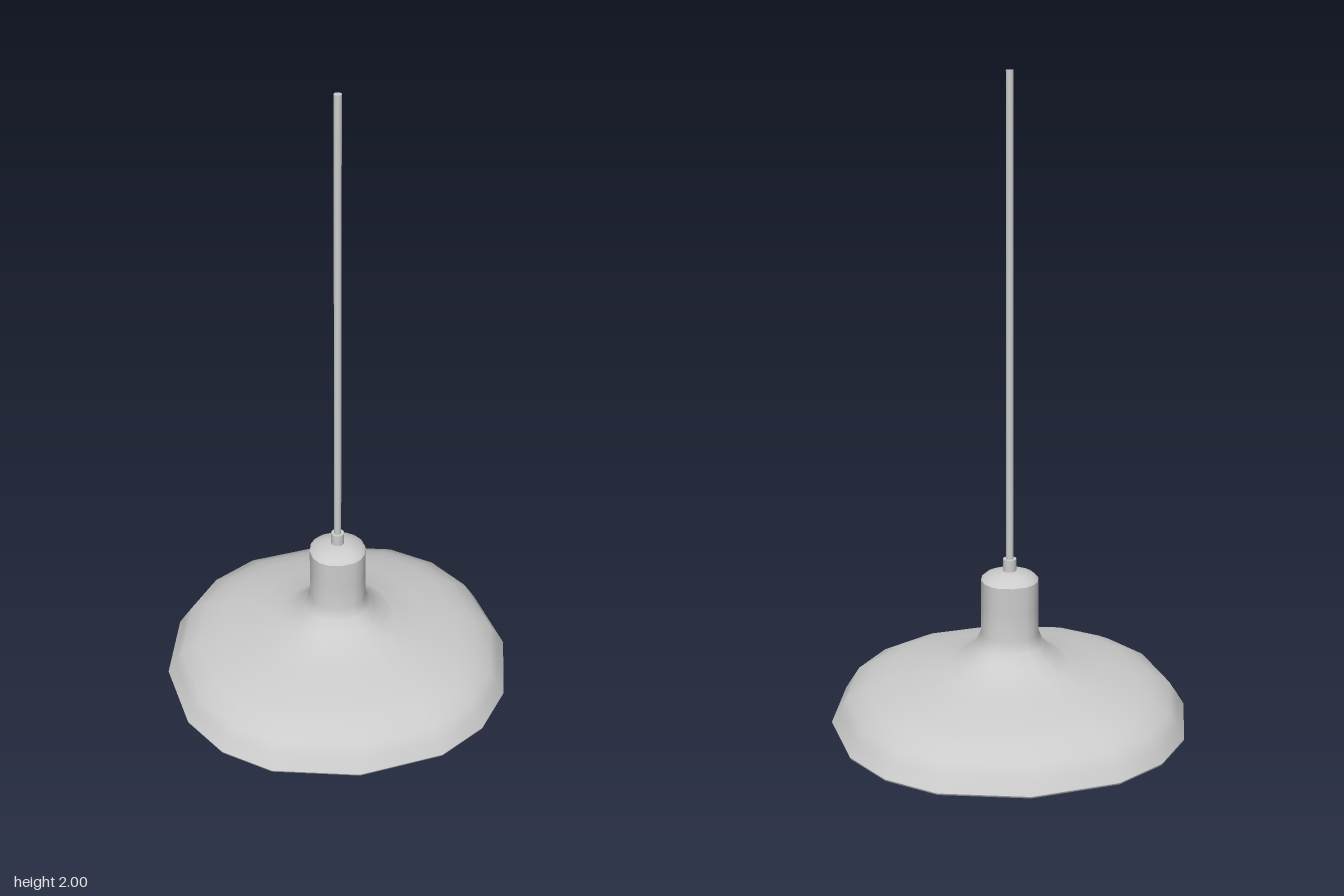
import * as THREE from 'three';

// Sixteen-sided, slightly squared outline, one quadrant mirrored to a full ring
const quadrant = [[1, 0], [0.91, 0.45], [0.735, 0.72], [0.475, 0.905]];
const second = quadrant.slice(1).reverse().map(([x, z]) => [-x, z]);
const half = [...quadrant, [0, 1], ...second];
const outline = [...half, ...half.map(([x, z]) => [-x, -z])];

const material = new THREE.MeshStandardMaterial({ color: 0xcccccc, side: THREE.DoubleSide });

// Smooth skin through rings given as [radius, height]
function ringSkin(name, profile, depth = 0.96) {
  const n = outline.length;
  const positions = [];
  const index = [];
  for (const [r, y] of profile) {
    for (const [x, z] of outline) positions.push(x * r, y, z * r * depth);
  }
  for (let i = 0; i < profile.length - 1; i++) {
    for (let j = 0; j < n; j++) {
      const a = i * n + j, c = i * n + (j + 1) % n;
      index.push(a, a + n, c, c, a + n, c + n);
    }
  }
  const geometry = new THREE.BufferGeometry();
  geometry.setAttribute('position', new THREE.Float32BufferAttribute(positions, 3));
  geometry.setIndex(index);
  geometry.computeVertexNormals();
  const mesh = new THREE.Mesh(geometry, material);
  mesh.name = name;
  return mesh;
}

function rod(name, radius, bottom, top) {
  const mesh = new THREE.Mesh(new THREE.CylinderGeometry(radius, radius, top - bottom, 16), material);
  mesh.position.y = (bottom + top) / 2;
  mesh.name = name;
  return mesh;
}

export function createModel() {
  const lamp = new THREE.Group();
  lamp.name = 'pendantLamp';

  // Shade: outer skin up to the neck, inner skin back down, and the rim joining them
  const outer = [
    [0.545, 0.052], [0.522, 0.09], [0.498, 0.128], [0.445, 0.157], [0.385, 0.18],
    [0.28, 0.204], [0.18, 0.228], [0.135, 0.257], [0.103, 0.29], [0.088, 0.325],
    [0.087, 0.41], [0.087, 0.495],
  ];
  const inner = outer.map(([r, y]) => [r - 0.008, y - 0.008]).reverse();
  inner[inner.length - 1] = [0.533, 0.046];
  lamp.add(ringSkin('shadeOuter', outer));
  lamp.add(ringSkin('shadeInner', inner));
  lamp.add(ringSkin('shadeRim', [[0.533, 0.046], [0.543, 0.046], [0.545, 0.052]]));

  // Domed cap on the neck
  lamp.add(ringSkin('neckCap', [
    [0.087, 0.495], [0.075, 0.506], [0.05, 0.517], [0.025, 0.522], [0, 0.523],
  ]));

  // Bulb with a stem running up into the neck
  const bulb = [];
  for (let i = 0; i <= 8; i++) {
    const t = (i / 8) * 2.5;
    bulb.push([0.112 * Math.sin(t), 0.112 - 0.112 * Math.cos(t)]);
  }
  bulb.push([0.05, 0.25], [0.045, 0.36], [0, 0.36]);
  lamp.add(ringSkin('bulb', bulb, 1));

  // Cord and its ferrule
  lamp.add(rod('cordFerrule', 0.02, 0.515, 0.56));
  lamp.add(rod('cord', 0.011, 0.55, 2));

  return lamp;
}
